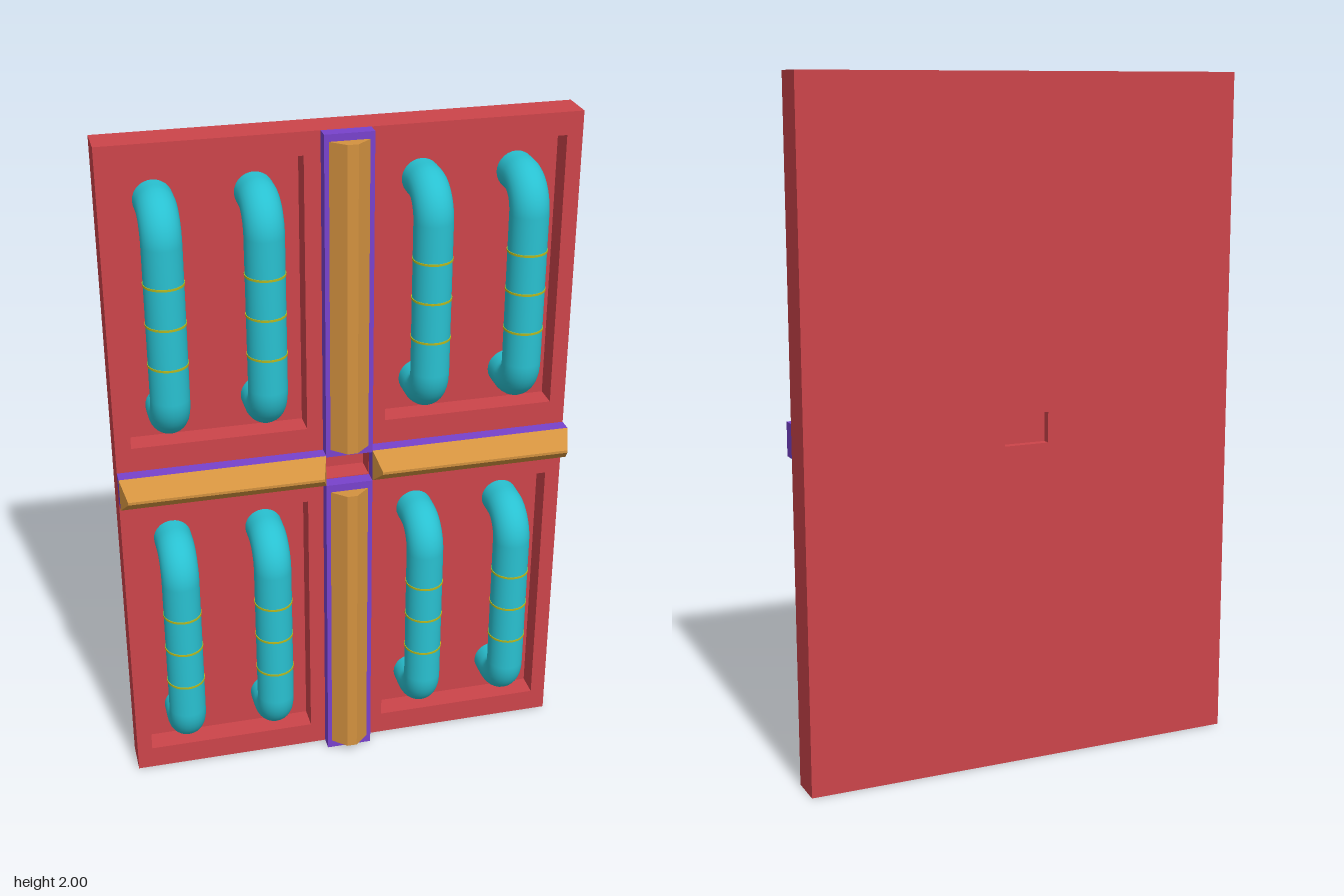
import * as THREE from 'three';

const mat = (color) => new THREE.MeshStandardMaterial({ color });
const V = (x, y, z) => new THREE.Vector3(x, y, z);

export function createModel() {
  const root = new THREE.Group();
  root.name = 'doorPanel';
  const red = mat(0xcc444a), purple = mat(0x7842cc), gold = mat(0xd3923f);
  const cyan = mat(0x29c1d1), yellow = mat(0xb5b820);
  gold.flatShading = true;

  const add = (name, geometry, material, x = 0, y = 0, z = 0, parent = root) => {
    const mesh = new THREE.Mesh(geometry, material);
    mesh.name = name;
    mesh.position.set(x, y, z);
    parent.add(mesh);
    return mesh;
  };
  const rect = (type, x0, x1, y0, y1) => new type([
    new THREE.Vector2(x0, y0), new THREE.Vector2(x1, y0),
    new THREE.Vector2(x1, y1), new THREE.Vector2(x0, y1),
  ]);

  // Slab in three layers: back with a latch recess, solid core, front with panel recesses
  const W = 0.665, Z = [-0.11, -0.085, -0.075, -0.005];
  const slot = [-0.068, 0.068, 0.955, 1.045];
  const panels = [];
  for (const [y0, y1] of [[0.07, 0.885], [1.125, 1.935]]) {
    panels.push([-0.62, -0.115, y0, y1], [0.115, 0.62, y0, y1]);
  }
  const layer = (name, i, holes) => {
    const shape = rect(THREE.Shape, -W, W, 0, 2);
    for (const h of holes) shape.holes.push(rect(THREE.Path, ...h));
    const depth = Z[i + 1] - Z[i];
    add(name, new THREE.ExtrudeGeometry(shape, { depth, bevelEnabled: false }), red, 0, 0, Z[i]);
  };
  layer('slabBack', 0, [slot]);
  layer('slabCore', 1, []);
  layer('slabFront', 2, [...panels, slot]);

  // Box whose front face is shrunk to a narrow ridge
  const ridge = (w, h, d, frontW, frontH) => {
    const g = new THREE.BoxGeometry(w, h, d);
    const p = g.attributes.position;
    for (let i = 0; i < p.count; i++) {
      if (p.getZ(i) > 0) p.setXY(i, Math.sign(p.getX(i)) * frontW / 2, Math.sign(p.getY(i)) * frontH / 2);
    }
    g.computeVertexNormals();
    return g;
  };

  // Cross of backing strips with bevelled bars on top
  for (const [y0, y1, b0, b1] of [[0, 0.953, 0.025, 0.93], [1.047, 2, 1.07, 1.98]]) {
    add('verticalStrip', new THREE.BoxGeometry(0.138, y1 - y0, 0.04), purple, 0, (y0 + y1) / 2, 0.015);
    add('verticalBar', ridge(0.112, b1 - b0, 0.038, 0.03, b1 - b0), gold, 0, (b0 + b1) / 2, 0.054);
  }
  for (const s of [-1, 1]) {
    const x = s * (W + 0.069) / 2, w = W - 0.069;
    add('horizontalStrip', new THREE.BoxGeometry(w, 0.098, 0.04), purple, x, 1.003, 0.015);
    add('horizontalBar', ridge(w, 0.098, 0.055, w - 0.034, 0.008), gold, x, 1.003, 0.0625);
  }

  // Pipe handles: straight run with a quarter bend into the recess at each end
  const R = 0.055, B = 0.08, K = B * 0.4477, half = 0.302, zf = 0.053;
  const path = new THREE.CurvePath();
  const bend = (s) => [
    V(0, s * half, zf - B), V(0, s * half, zf - K),
    V(0, s * (half - K), zf), V(0, s * (half - B), zf),
  ];
  const lower = bend(-1), upper = bend(1).reverse();
  path.add(new THREE.LineCurve3(V(0, -half, Z[2] - 0.003), lower[0]));
  path.add(new THREE.CubicBezierCurve3(...lower));
  path.add(new THREE.LineCurve3(lower[3], upper[0]));
  path.add(new THREE.CubicBezierCurve3(...upper));
  path.add(new THREE.LineCurve3(upper[3], V(0, half, Z[2] - 0.003)));
  const pipeGeo = new THREE.TubeGeometry(path, 72, R, 28, false);
  const ringGeo = new THREE.CylinderGeometry(R + 0.002, R + 0.002, 0.006, 28);

  for (const y of [0.48, 1.522]) {
    for (const x of [-0.51, -0.237, 0.229, 0.501]) {
      const handle = new THREE.Group();
      handle.name = 'pipeHandle';
      handle.position.set(x, y, 0);
      root.add(handle);
      add('pipe', pipeGeo, cyan, 0, 0, 0, handle);
      for (const dy of [-0.118, 0, 0.115]) add('pipeRing', ringGeo, yellow, 0, dy, zf, handle);
    }
  }
  return root;
}
